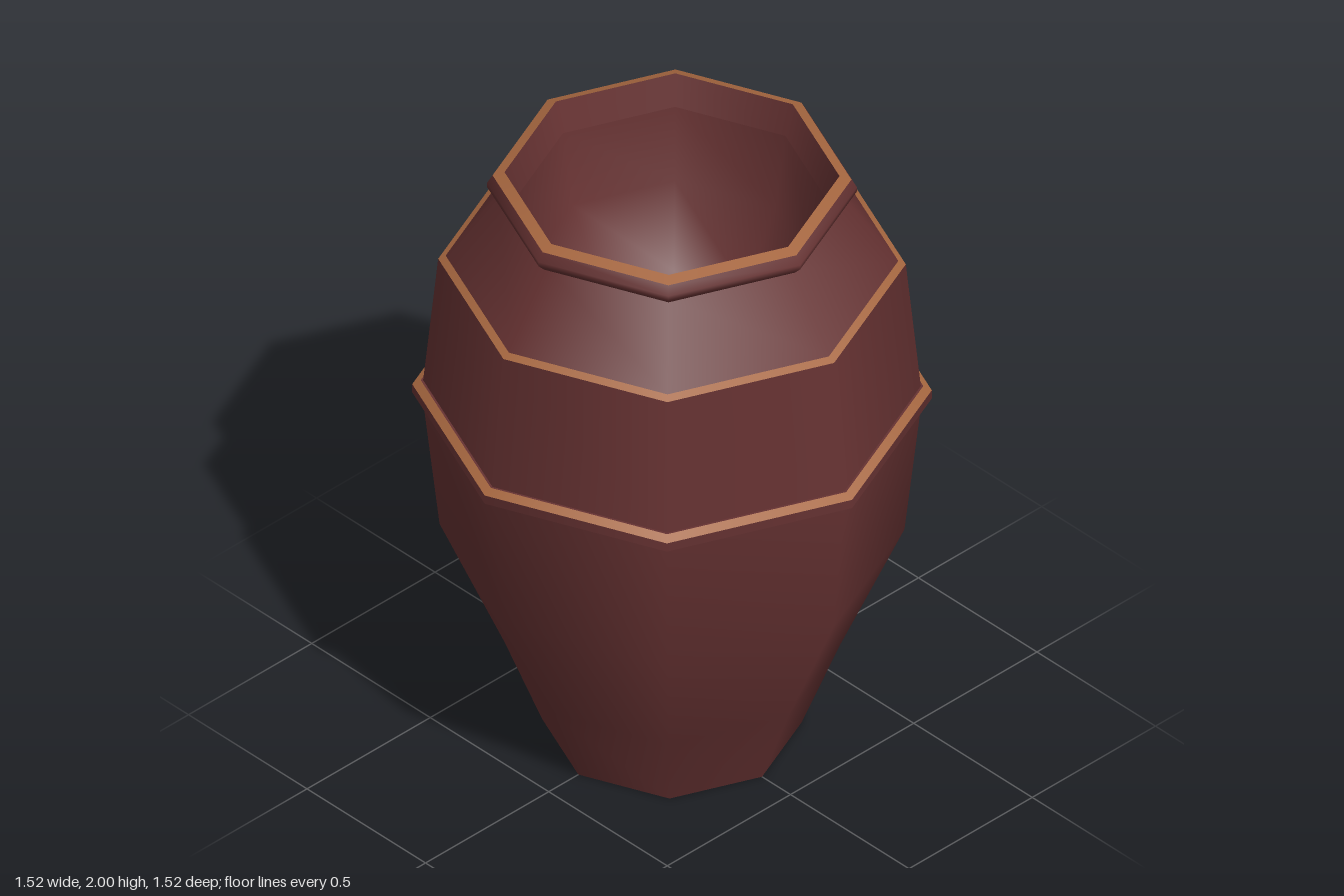
import * as THREE from 'three';

const SIDES = 8;

export function createModel() {
  const model = new THREE.Group();
  model.name = 'jar';

  const clay = new THREE.MeshStandardMaterial({ color: 0x663232 });
  clay.name = 'dark red clay';
  const trim = new THREE.MeshStandardMaterial({ color: 0xa5663f });
  trim.name = 'worn orange edge';

  // Eight-sided turned section; separate sections keep the creases sharp
  function ring(name, material, profile) {
    const points = profile.map(([r, y]) => new THREE.Vector2(r, y));
    const mesh = new THREE.Mesh(new THREE.LatheGeometry(points, SIDES), material);
    mesh.name = name;
    model.add(mesh);
  }

  // Body
  ring('base', clay, [[0, 0], [0.38, 0]]);
  ring('lowerBody', clay, [[0.38, 0], [0.49, 0.28], [0.68, 0.71], [0.73, 1.175]]);

  // Raised band round the middle
  ring('bandUnderside', clay, [[0.73, 1.175], [0.76, 1.19]]);
  ring('bandSide', clay, [[0.76, 1.19], [0.76, 1.22]]);
  ring('bandEdge', trim, [[0.76, 1.22], [0.735, 1.235]]);
  ring('bandTop', clay, [[0.735, 1.235], [0.728, 1.235]]);

  // Upper body and shoulder
  ring('upperBody', clay, [[0.728, 1.235], [0.684, 1.68]]);
  ring('shoulderEdge', trim, [[0.684, 1.68], [0.662, 1.692]]);
  ring('shoulder', clay, [[0.662, 1.692], [0.505, 1.92]]);

  // Rim
  ring('rimOutside', clay, [[0.505, 1.92], [0.52, 1.922], [0.541, 1.945], [0.541, 1.96], [0.525, 1.988]]);
  ring('rimEdge', trim, [[0.525, 1.988], [0.49, 2]]);
  ring('rimInside', clay, [[0.49, 2], [0.46, 1.9]]);

  // Hollow
  ring('hollow', clay, [[0.46, 1.9], [0.42, 1.66], [0.3, 1.42], [0.12, 1.3], [0, 1.28]]);

  return model;
}
